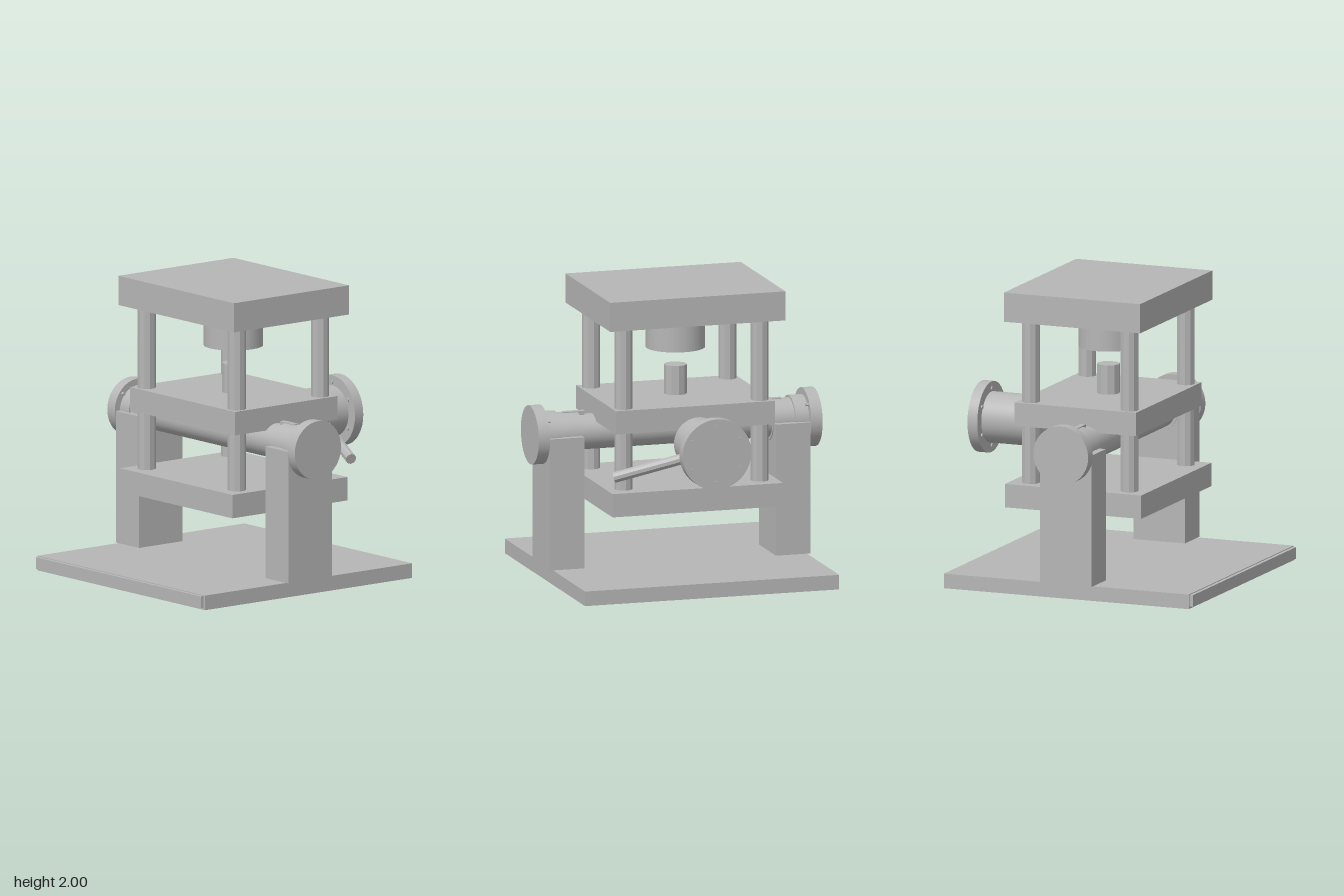
import * as THREE from 'three';

export function createModel() {
  const model = new THREE.Group();
  model.name = 'press';
  const grey = new THREE.MeshStandardMaterial({ color: 0xb6b6b6 });
  grey.name = 'machine grey';
  const facetedGrey = grey.clone(); // same colour, hard facets for the low-sided rods
  facetedGrey.flatShading = true;

  function add(name, geometry, material = grey) {
    const mesh = new THREE.Mesh(geometry, material);
    mesh.name = name;
    model.add(mesh);
    return mesh;
  }

  // Box given by its extents along each axis
  function box(name, [x0, x1], [y0, y1], [z0, z1]) {
    add(name, new THREE.BoxGeometry(x1 - x0, y1 - y0, z1 - z0))
      .position.set((x0 + x1) / 2, (y0 + y1) / 2, (z0 + z1) / 2);
  }

  // Cylinder between two points; few sides means faceted
  function rod(name, from, to, radius, sides = 48) {
    const a = new THREE.Vector3(...from), b = new THREE.Vector3(...to);
    const mesh = add(name, new THREE.CylinderGeometry(radius, radius, a.distanceTo(b), sides),
      sides <= 12 ? facetedGrey : grey);
    mesh.position.copy(a).add(b).multiplyScalar(0.5);
    mesh.quaternion.setFromUnitVectors(new THREE.Vector3(0, 1, 0), b.sub(a).normalize());
  }

  // Base and its front panel
  box('base', [-0.895, 0.895], [0, 0.1], [-0.855, 0.935]);
  box('frontPanel', [-0.88, 0.88], [0.015, 0.095], [0.93, 0.96]);

  // Stacked plates
  box('topPlate', [-0.617, 0.617], [1.8, 2], [-0.535, 0.46]);
  box('middlePlate', [-0.56, 0.56], [1.08, 1.24], [-0.48, 0.405]);
  box('lowerPlate', [-0.6, 0.6], [0.525, 0.685], [-0.535, 0.46]);

  // Guide columns
  for (const x of [-0.48, 0.48])
    for (const z of [-0.395, 0.325])
      rod('guideColumn', [x, 0.66, z], [x, 1.82, z], 0.061, 10);

  // Ram and punch on the press axis
  rod('ram', [0, 1.56, -0.035], [0, 1.82, -0.035], 0.2);
  rod('punch', [0, 1.22, -0.035], [0, 1.44, -0.035], 0.078, 10);

  // Cross shaft with stepped ends, end flanges and pedestals
  const sy = 1, sz = 0.045;
  rod('crossShaft', [-0.7, sy, sz], [0.7, sy, sz], 0.12);
  for (const s of [-1, 1]) {
    box('pedestal', s < 0 ? [-0.92, -0.675] : [0.675, 0.92], [0.1, 1], [-0.14, 0.235]);
    rod('bearingSleeve', [s * 0.67, sy, sz], [s * 0.85, sy, sz], 0.14);
    rod('bearingCollar', [s * 0.825, sy, sz], [s * 0.93, sy, sz], 0.155);
    rod('endFlange', [s * 0.92, sy, sz], [s, sy, sz], 0.2);
    box('shaftKey', s < 0 ? [-0.77, -0.62] : [0.62, 0.77], [1.1, 1.145], [sz - 0.02, sz + 0.02]);
    for (const deg of [40, 140, 220, 320]) {
      const a = THREE.MathUtils.degToRad(deg);
      const y = sy + 0.175 * Math.sin(a), z = sz + 0.175 * Math.cos(a);
      rod('flangeBolt', [s * 0.9, y, z], [s * 0.95, y, z], 0.011, 8);
    }
  }

  // Rear drive: body, flange and ring of bolts
  const my = 1.005;
  rod('driveBody', [0, my, -0.55], [0, my, -0.9], 0.173);
  rod('driveFlange', [0, my, -0.89], [0, my, -0.962], 0.242);
  for (let i = 0; i < 6; i++) {
    const a = Math.PI / 6 + i * Math.PI / 3;
    const x = 0.195 * Math.cos(a), y = my + 0.195 * Math.sin(a);
    rod('driveBolt', [x, y, -0.88], [x, y, -0.966], 0.013, 8);
  }

  // Operating lever
  rod('lever', [0.1, 0.955, -0.73], [0.6, 0.805, -0.565], 0.037, 10);

  return model;
}
